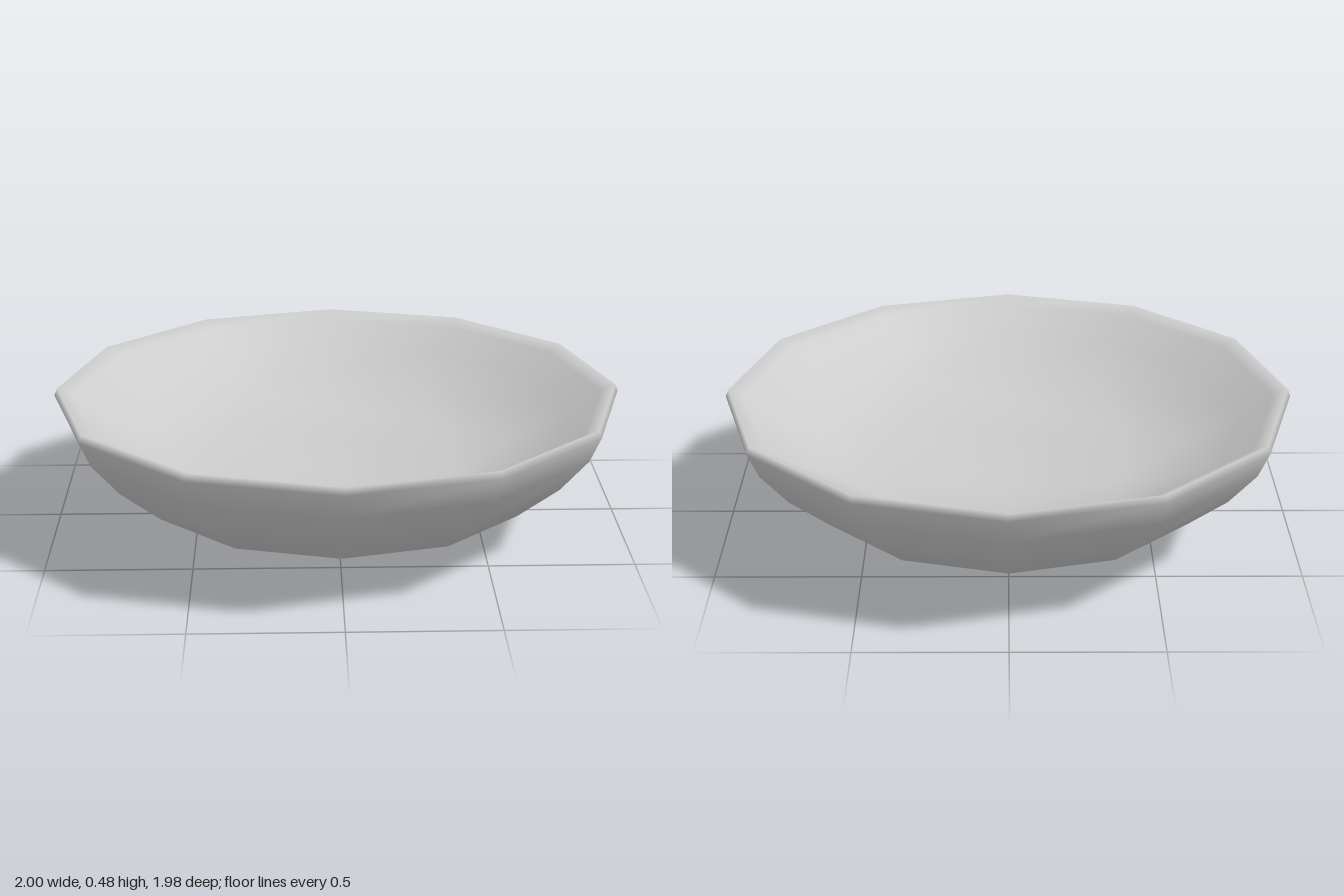
import * as THREE from 'three';

const SIDES = 12;

// Profile rings from the outer base, over the rim, to the shallow inner base: [radius, height, vertex count]
const RINGS = [
  [0.27, 0.005, 2], [0.49, 0.033, 6], [0.7, 0.125, 12], [0.85, 0.25, 12], [0.95, 0.37, 12],
  [0.99, 0.46, 12], [0.98, 0.485, 12], [0.93, 0.46, 12],
  [0.82, 0.385, 12], [0.66, 0.3, 12], [0.46, 0.24, 6], [0.25, 0.212, 2],
];
const WIDTH = 1.01; // the bowl is slightly wider than deep

// Closed shell whose coarser rings share vertices with the 12-sided ones
function shellGeometry(rings) {
  const positions = [], index = [], starts = [];
  for (const [r, y, n] of rings) {
    starts.push(positions.length / 3);
    for (let k = 0; k < n; k++) {
      const a = (k / n) * Math.PI * 2;
      positions.push(WIDTH * r * Math.sin(a), y, r * Math.cos(a));
    }
  }
  const vertex = (ring, i) => {
    const n = rings[ring][2];
    return starts[ring] + (Math.floor(((i % SIDES) * n) / SIDES + 0.499) % n);
  };
  const triangle = (a, b, c) => {
    if (a !== b && b !== c && c !== a) index.push(a, b, c);
  };
  for (let ring = 0; ring < rings.length - 1; ring++) {
    // Where the rings get finer, the diagonal flips so the fans stay symmetric
    const finer = rings[ring][2] < rings[ring + 1][2];
    for (let i = 0; i < SIDES; i++) {
      const a = vertex(ring, i), b = vertex(ring, i + 1);
      const c = vertex(ring + 1, i + 1), d = vertex(ring + 1, i);
      triangle(a, b, finer ? d : c);
      triangle(finer ? b : a, c, d);
    }
  }
  const geometry = new THREE.BufferGeometry();
  geometry.setAttribute('position', new THREE.Float32BufferAttribute(positions, 3));
  geometry.setIndex(index);
  geometry.computeVertexNormals();
  return geometry;
}

export function createModel() {
  const group = new THREE.Group();
  group.name = 'shallowBowl';
  const bowl = new THREE.Mesh(
    shellGeometry(RINGS),
    new THREE.MeshStandardMaterial({ color: 0xcccccc }),
  );
  bowl.name = 'bowl';
  group.add(bowl);
  return group;
}
